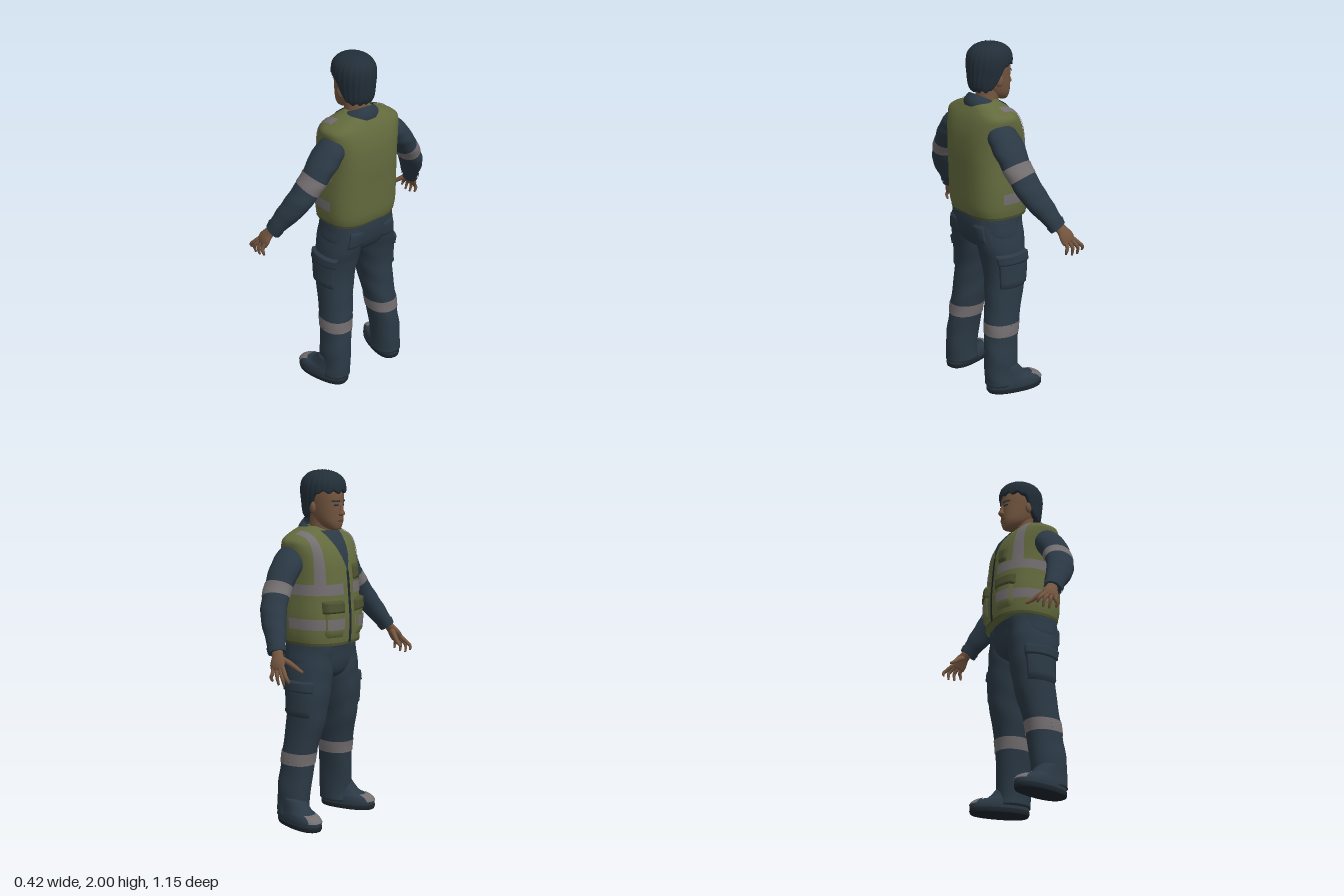
import * as THREE from 'three';

const V = (x, y, z) => new THREE.Vector3(x, y, z);
const lerp = THREE.MathUtils.lerp, PI = Math.PI;
const paint = (name, color) => {
  const m = new THREE.MeshStandardMaterial({ color, side: THREE.DoubleSide });
  m.name = name;
  return m;
};

// Grid surface from fn(s, t); "closed" joins the s direction
function grid(fn, nu, nv, closed = false) {
  const pos = [], idx = [], w = closed ? nu : nu + 1;
  for (let j = 0; j <= nv; j++)
    for (let i = 0; i < w; i++) pos.push(...fn(i / nu, j / nv, j).toArray());
  for (let j = 0; j < nv; j++)
    for (let i = 0; i < nu; i++) {
      const a = j * w + i, b = j * w + (i + 1) % w;
      idx.push(a, a + w, b, b, a + w, b + w);
    }
  const g = new THREE.BufferGeometry();
  g.setAttribute('position', new THREE.Float32BufferAttribute(pos, 3));
  g.setIndex(idx);
  g.computeVertexNormals();
  return g;
}

// Sheet lifted off a surface by d; a raised pad has its rim on the surface
function patch(fn, nu, nv, d, raised = false) {
  const g = grid(fn, nu, nv), p = g.attributes.position, n = g.attributes.normal;
  for (let k = 0; k < p.count; k++) {
    const i = k % (nu + 1), j = Math.floor(k / (nu + 1));
    const rim = raised && (i === 0 || j === 0 || i === nu || j === nv);
    const o = rim ? -0.003 : d;
    p.setXYZ(k, p.getX(k) + n.getX(k) * o, p.getY(k) + n.getY(k) * o, p.getZ(k) + n.getZ(k) * o);
  }
  g.computeVertexNormals();
  return g;
}

// Smooth body through rows of [x, y, z, radiusAcross, radiusDeep]
function loft(rows, { level = true, nf = 2, nb = 2, wob = 0 } = {}) {
  const P = new THREE.CatmullRomCurve3(rows.map(r => V(r[0], r[1], r[2])), false, 'catmullrom');
  const R = new THREE.CatmullRomCurve3(rows.map(r => V(r[3], r[4], 0)), false, 'catmullrom');
  const at = (a, v, k = 1) => {
    const c = P.getPoint(v), r = R.getPoint(v);
    const T = level ? V(0, 1, 0) : P.getTangent(v);
    const A = T.clone().cross(V(0, 0, 1)).normalize(), B = A.clone().cross(T);
    const co = Math.cos(a), si = Math.sin(a), e = 2 / (si > 0 ? nf : nb);
    const f = k * (1 + wob * Math.sin(v * 34 + 2.5 * Math.sin(a + v * 5)));
    return c.addScaledVector(A, Math.sign(co) * Math.abs(co) ** e * r.x * f)
      .addScaledVector(B, Math.sign(si) * Math.abs(si) ** e * r.y * f);
  };
  const find = test => {
    let lo = 0, hi = 1;
    for (let i = 0; i < 24; i++) { const m = (lo + hi) / 2; if (test(m)) lo = m; else hi = m; }
    return lo;
  };
  const vAt = y => find(v => P.getPoint(v).y < y);
  const front = (x, y) => {
    const v = vAt(y), c = P.getPoint(v), r = R.getPoint(v);
    const q = Math.min(1, Math.abs((x - c.x) / r.x));
    return V(x, y, c.z + r.y * (1 - q ** nf) ** (1 / nf));
  };
  return {
    at, vAt, front, width: y => R.getPoint(vAt(y)).x,
    solid: (nu, nv) => grid((s, t, j) =>
      at(s * 2 * PI, THREE.MathUtils.clamp((j - 1) / (nv - 2), 0, 1), j === 0 || j === nv ? 0 : 1), nu, nv, true),
    band: (a0, a1, v0, v1, d, raised) =>
      patch((s, t) => at(lerp(a0, a1, s), lerp(v0, v1, t)), 28, 8, d, raised),
    plate: (x0, x1, y0, y1, d, raised) =>
      patch((s, t) => front(lerp(x1, x0, s), lerp(y0, y1, t)), 8, 8, d, raised),
  };
}

export function createModel() {
  const navy = paint('navy cloth', 0x2b3945), olive = paint('olive vest', 0x636a3d);
  const grey = paint('grey reflective', 0x736e70), skin = paint('skin', 0x73553f);
  const hairCol = paint('dark hair', 0x222e38), dark = paint('dark trim', 0x1d262d);
  const lip = paint('lip', 0x60412f), trim = paint('vest trim', 0x4c5230);

  // The figure is built facing +z, then turned to face -x
  const body = new THREE.Group();
  body.name = 'worker';
  const add = (name, geo, mat) => {
    const m = new THREE.Mesh(geo, mat);
    m.name = name;
    body.add(m);
  };
  const pair = (name, geo, mat) => {
    const g = geo.clone().scale(-1, 1, 1), ix = g.index.array;
    for (let i = 0; i < ix.length; i += 3) [ix[i], ix[i + 1]] = [ix[i + 1], ix[i]];
    g.computeVertexNormals();
    add(name + 'Left', geo, mat);
    add(name + 'Right', g, mat);
  };

  // Vest
  const vest = loft([
    [0, 1.04, -0.005, 0.21, 0.177], [0, 1.1, -0.01, 0.22, 0.187], [0, 1.2, -0.012, 0.222, 0.19],
    [0, 1.3, -0.018, 0.218, 0.188], [0, 1.4, -0.024, 0.215, 0.186], [0, 1.5, -0.03, 0.222, 0.176],
    [0, 1.57, -0.038, 0.232, 0.155], [0, 1.615, -0.047, 0.23, 0.13], [0, 1.645, -0.053, 0.185, 0.108],
    [0, 1.67, -0.06, 0.12, 0.085], [0, 1.685, -0.06, 0.08, 0.065]], { nf: 2.3, nb: 3 });
  add('vest', vest.solid(64, 48), olive);
  for (const [y0, y1] of [[1.13, 1.19], [1.32, 1.38]])
    pair('vestBand', vest.band(-0.2, 0.45 * PI, vest.vAt(y0), vest.vAt(y1), 0.004), grey);
  const ridge = x => {
    let lo = 1.615, hi = 1.685;
    for (let i = 0; i < 20; i++) { const m = (lo + hi) / 2; if (vest.width(m) > x) lo = m; else hi = m; }
    return lo;
  };
  pair('shoulderStripe', patch((s, t) => {
    const x = lerp(0.19, 0.145, s);
    return vest.front(x, lerp(1.375, ridge(x), 1 - (1 - t) ** 2));
  }, 6, 24, 0.005), grey);
  add('shirtFront', patch((s, t) => vest.front(lerp(1, -1, s) * 0.075 * t, lerp(1.44, 1.66, t)), 8, 16, 0.005), navy);
  add('zip', vest.plate(-0.01, 0.01, 1.045, 1.45, 0.005), dark);
  pair('vestPocket', vest.plate(0.05, 0.165, 1.08, 1.27, 0.012, true), olive);
  pair('pocketBand', vest.plate(0.062, 0.152, 1.13, 1.19, 0.016), grey);
  pair('vestPocketFlap', vest.plate(0.043, 0.172, 1.215, 1.29, 0.022, true), trim);
  add('chestPocket', vest.plate(0.05, 0.11, 1.39, 1.48, 0.015, true), trim);
  add('vestHem', vest.band(0, 2 * PI, 0, vest.vAt(1.055), 0.003), trim);

  // Collar and neck
  add('collar', grid((s, t) => {
    const a = PI / 2 + 0.22 + s * (2 * PI - 0.44), f = Math.sin(a), q = Math.max(0, f) ** 3;
    const out = Math.sin(Math.min(1, t * 1.2) * PI / 2);
    return V(Math.cos(a) * lerp(0.078, 0.118, out), 1.685 - 0.042 * f - t * (0.068 + 0.02 * q),
      -0.045 + f * lerp(0.085, 0.112 + 0.05 * q, out));
  }, 48, 8), navy);
  add('neck', loft([[0, 1.58, -0.04, 0.066, 0.07], [0, 1.66, -0.03, 0.062, 0.066],
    [0, 1.72, -0.02, 0.06, 0.068], [0, 1.78, -0.015, 0.06, 0.07]]).solid(28, 12), skin);

  // Head and face
  const head = loft([
    [0, 1.668, 0.075, 0.026, 0.025], [0, 1.682, 0.055, 0.045, 0.052], [0, 1.71, 0.035, 0.063, 0.078],
    [0, 1.75, 0.018, 0.074, 0.096], [0, 1.8, 0.008, 0.081, 0.106], [0, 1.86, 0, 0.086, 0.114],
    [0, 1.92, -0.005, 0.082, 0.105], [0, 1.96, -0.01, 0.06, 0.08]], { nf: 2.2 });
  add('head', head.solid(40, 32), skin);
  add('nose', loft([[0, 1.745, 0.112, 0.014, 0.012], [0, 1.757, 0.116, 0.018, 0.025],
    [0, 1.78, 0.112, 0.01, 0.02], [0, 1.815, 0.106, 0.009, 0.012]]).solid(14, 12), skin);
  add('mouth', head.plate(-0.025, 0.025, 1.713, 1.724, 0.004), lip);
  pair('eye', head.plate(0.02, 0.045, 1.8, 1.809, 0.002), dark);
  pair('eyebrow', head.plate(0.014, 0.056, 1.823, 1.832, 0.005), hairCol);
  pair('ear', new THREE.SphereGeometry(1, 14, 10).scale(0.014, 0.033, 0.022).rotateY(0.3).translate(0.093, 1.79, -0.01), skin);

  // Hair: low at the nape, high over the forehead, with combed ridges
  const hair = loft([
    [0, 1.72, -0.045, 0.078, 0.065], [0, 1.76, -0.03, 0.094, 0.102], [0, 1.82, -0.014, 0.105, 0.126],
    [0, 1.88, -0.01, 0.113, 0.134], [0, 1.93, -0.01, 0.108, 0.127], [0, 1.965, -0.012, 0.085, 0.1],
    [0, 1.985, -0.015, 0.05, 0.06], [0, 1.994, -0.015, 0.002, 0.002]]);
  add('hair', grid((s, t, j) => {
    const a = s * 2 * PI, low = 1.735 + 0.14 * THREE.MathUtils.smoothstep(Math.sin(a), -0.35, 0.35);
    const v = lerp(hair.vAt(low + 0.008 * Math.sin(a * 13)), 1, Math.max(0, j - 1) / 23);
    return hair.at(a, v, j === 0 ? 0.76 : 1 + 0.014 * Math.sin(a * 24 + v * 7));
  }, 120, 24, true), hairCol);
  for (let i = 0; i < 12; i++) {
    const a = i * 2.4, r = 0.015 + 0.004 * i;
    add('hairTuft', new THREE.ConeGeometry(0.01, 0.03, 5).rotateZ(-Math.cos(a) * 0.9).rotateX(Math.sin(a) * 0.9)
      .translate(Math.cos(a) * r, 1.987 - r * r * 4, Math.sin(a) * r - 0.015), hairCol);
  }

  // Sleeves with reflective band and cuff
  const arm = loft([
    [0.165, 1.56, -0.075, 0.06, 0.08], [0.245, 1.475, -0.072, 0.07, 0.094], [0.335, 1.355, -0.062, 0.06, 0.082],
    [0.405, 1.245, -0.03, 0.058, 0.078], [0.46, 1.14, 0.03, 0.05, 0.062], [0.503, 1.055, 0.075, 0.036, 0.046]],
    { level: false, wob: 0.02 });
  pair('sleeve', arm.solid(32, 44), navy);
  pair('armBand', arm.band(0, 2 * PI, 0.36, 0.465, 0.004), grey);
  pair('cuff', arm.band(0, 2 * PI, 0.94, 1, 0.005), navy);

  // Hands
  const tube = rows => loft(rows, { level: false });
  pair('palm', tube([[0.495, 1.075, 0.07, 0.024, 0.03], [0.517, 1.04, 0.092, 0.021, 0.034],
    [0.537, 1.005, 0.108, 0.019, 0.046], [0.549, 0.972, 0.118, 0.013, 0.042]]).solid(20, 12), skin);
  const fingers = [[0.148, 0.2, 0.925], [0.128, 0.167, 0.908], [0.106, 0.13, 0.908], [0.086, 0.088, 0.922]];
  for (const [z0, z1, y1] of fingers)
    pair('finger', tube([[0.542, 0.99, z0, 0.012, 0.012], [0.562, 0.955, (z0 + z1) / 2 + 0.008, 0.011, 0.011],
      [0.566, 0.935, z1, 0.0095, 0.0095], [0.557, y1 - 0.01, z1 + 0.003, 0.006, 0.006]]).solid(10, 10), skin);
  pair('thumb', tube([[0.512, 1.035, 0.1, 0.015, 0.016], [0.483, 1.005, 0.145, 0.014, 0.014],
    [0.462, 0.975, 0.18, 0.011, 0.011], [0.45, 0.955, 0.21, 0.007, 0.007]]).solid(10, 10), skin);

  // Trousers with knee bands and cargo pockets
  add('trouserSeat', loft([[0, 0.82, -0.015, 0.05, 0.06], [0, 0.86, -0.02, 0.15, 0.12], [0, 0.92, -0.026, 0.218, 0.148],
    [0, 1.0, -0.03, 0.212, 0.158], [0, 1.07, -0.025, 0.203, 0.16]], { nf: 2.3, nb: 2.6 }).solid(48, 24), navy);
  const leg = loft([
    [0.198, 0.045, -0.07, 0.082, 0.1], [0.195, 0.1, -0.072, 0.078, 0.097], [0.19, 0.2, -0.07, 0.08, 0.1],
    [0.18, 0.3, -0.06, 0.081, 0.1], [0.168, 0.4, -0.05, 0.087, 0.1], [0.158, 0.5, -0.035, 0.092, 0.105],
    [0.148, 0.6, -0.015, 0.097, 0.115], [0.138, 0.7, -0.01, 0.106, 0.12], [0.126, 0.8, -0.01, 0.117, 0.13],
    [0.116, 0.88, -0.022, 0.116, 0.142], [0.106, 0.97, -0.028, 0.106, 0.15], [0.1, 1.05, -0.025, 0.095, 0.145]],
    { nf: 2.2, nb: 2.2, wob: 0.016 });
  pair('trouserLeg', leg.solid(36, 60), navy);
  pair('legBand', leg.band(0, 2 * PI, leg.vAt(0.35), leg.vAt(0.42), 0.004), grey);
  pair('cargoPocket', leg.band(-0.8, 0.75, leg.vAt(0.63), leg.vAt(0.81), 0.013, true), navy);
  pair('cargoFlap', leg.band(-0.85, 0.8, leg.vAt(0.77), leg.vAt(0.84), 0.019, true), navy);
  pair('backPocket', leg.band(-2.0, -1.1, leg.vAt(0.9), leg.vAt(1.01), 0.008, true), navy);

  // Boots, toes turned slightly out
  const boot = loft([[0, 0.02, 0, 0.073, 0.165], [0, 0.05, 0, 0.074, 0.166], [0, 0.075, -0.012, 0.07, 0.148],
    [0, 0.095, -0.04, 0.066, 0.11], [0, 0.16, -0.07, 0.06, 0.08]], { nf: 2.3, nb: 2.5 });
  const sole = loft([[0, 0, 0, 0.074, 0.163], [0, 0.012, 0, 0.077, 0.168], [0, 0.028, 0, 0.077, 0.168]], { nf: 2.3, nb: 2.5 });
  const place = g => g.rotateY(0.23).translate(0.225, 0, 0);
  pair('boot', place(boot.solid(36, 20)), navy);
  pair('bootSole', place(sole.solid(36, 8)), dark);
  pair('toeCap', place(boot.band(PI / 2 - 0.6, PI / 2 + 0.6, boot.vAt(0.048), boot.vAt(0.082), 0.004)), grey);

  body.rotation.y = -PI / 2;
  const model = new THREE.Group();
  model.name = 'standingWorker';
  model.add(body);
  return model;
}
